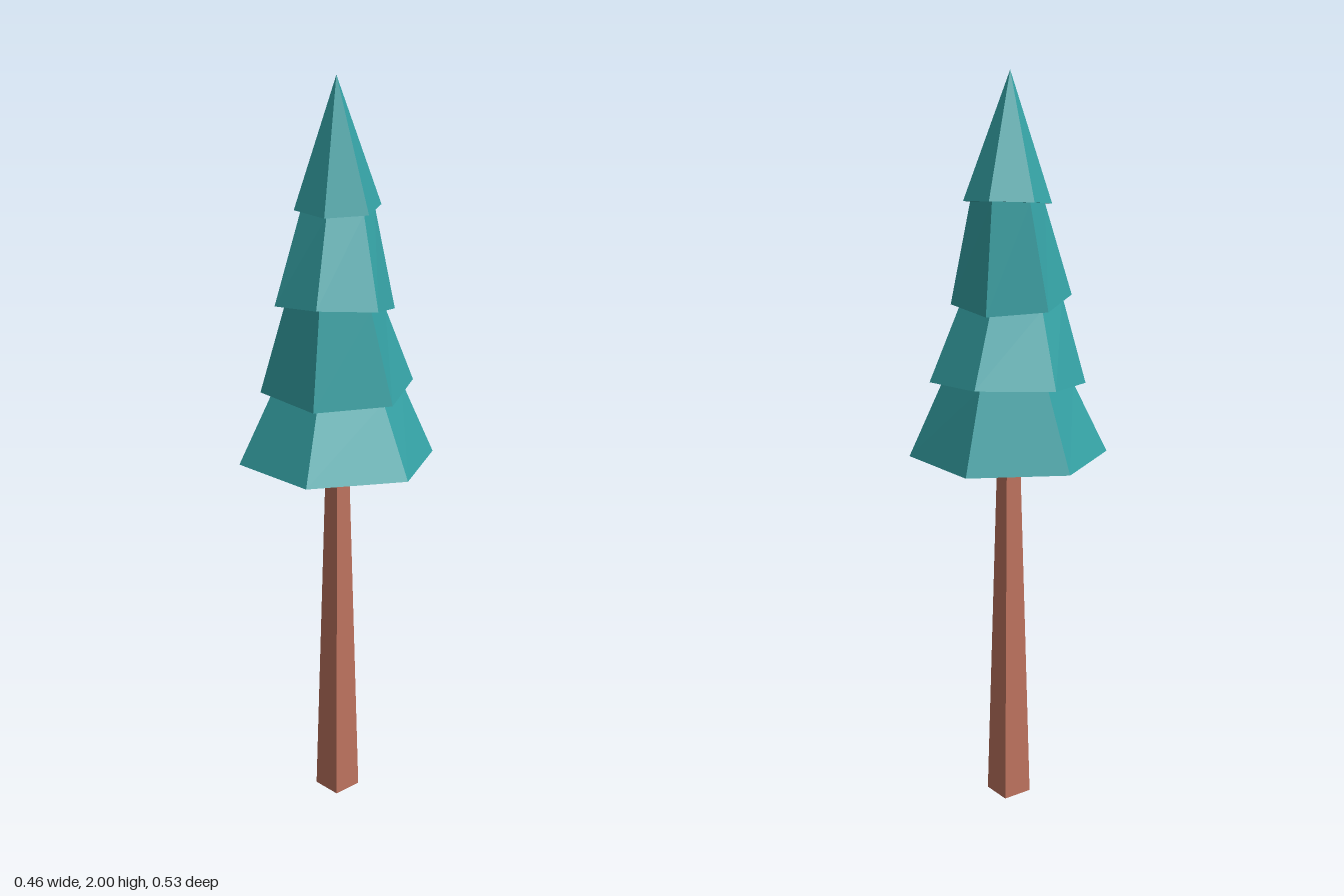
import * as THREE from 'three';

const SIDES = 6;

// Hexagonal ring around (x, y, z), tilted by slopes a (along x) and b (along z)
function ring({ x = 0, y, z = 0, r, a = 0, b = 0 }, scale = 1) {
  return Array.from({ length: SIDES }, (_, i) => {
    const t = (i / SIDES) * Math.PI * 2;
    const dx = Math.sin(t) * r * scale;
    const dz = Math.cos(t) * r * scale;
    return new THREE.Vector3(x + dx, y + a * dx + b * dz, z + dz);
  });
}

// Joins rings, listed from bottom to top, into a faceted shell
function loft(rings, base, apex) {
  const pos = [];
  const tri = (...pts) => pts.forEach((p) => pos.push(p.x, p.y, p.z));
  for (let i = 0; i < SIDES; i++) {
    const j = (i + 1) % SIDES;
    tri(base, rings[0][j], rings[0][i]);
    for (let k = 0; k + 1 < rings.length; k++) {
      const lo = rings[k], hi = rings[k + 1];
      tri(lo[i], lo[j], hi[j]);
      tri(lo[i], hi[j], hi[i]);
    }
    const top = rings[rings.length - 1];
    tri(top[i], top[j], apex);
  }
  const geo = new THREE.BufferGeometry();
  geo.setAttribute('position', new THREE.Float32BufferAttribute(pos, 3));
  geo.computeVertexNormals();
  return geo;
}

export function createModel() {
  const tree = new THREE.Group();
  tree.name = 'tree';

  // Square tapered trunk
  const trunkGeo = new THREE.CylinderGeometry(0.022 * Math.SQRT2, 0.043 * Math.SQRT2, 1, 4, 1);
  trunkGeo.rotateY(Math.PI / 4);
  const trunk = new THREE.Mesh(
    trunkGeo,
    new THREE.MeshStandardMaterial({ color: 0xbc725e, flatShading: true })
  );
  trunk.name = 'trunk';
  trunk.position.y = 0.5;
  tree.add(trunk);

  // Foliage: slightly shifted and tilted tiers, each overhanging the one below
  const tiers = [
    { y: 1, r: 0.267 },
    { x: 0.008, y: 1.198, z: -0.008, r: 0.208, a: 0.065, b: -0.06 },
    { x: -0.014, y: 1.416, z: 0.007, r: 0.16, a: -0.12, b: 0.08 },
    { x: 0.009, y: 1.671, z: -0.008, r: 0.115, a: 0.08, b: -0.07 },
  ];
  const rings = [];
  tiers.forEach((tier, k) => {
    if (k > 0) rings.push(ring(tier, 0.84)); // inner edge of the overhang
    rings.push(ring(tier));
  });
  const foliage = new THREE.Mesh(
    loft(rings, new THREE.Vector3(0, 1, 0), new THREE.Vector3(-0.009, 2, 0.006)),
    new THREE.MeshStandardMaterial({ color: 0x35a2a5, flatShading: true })
  );
  foliage.name = 'foliage';
  tree.add(foliage);

  return tree;
}
